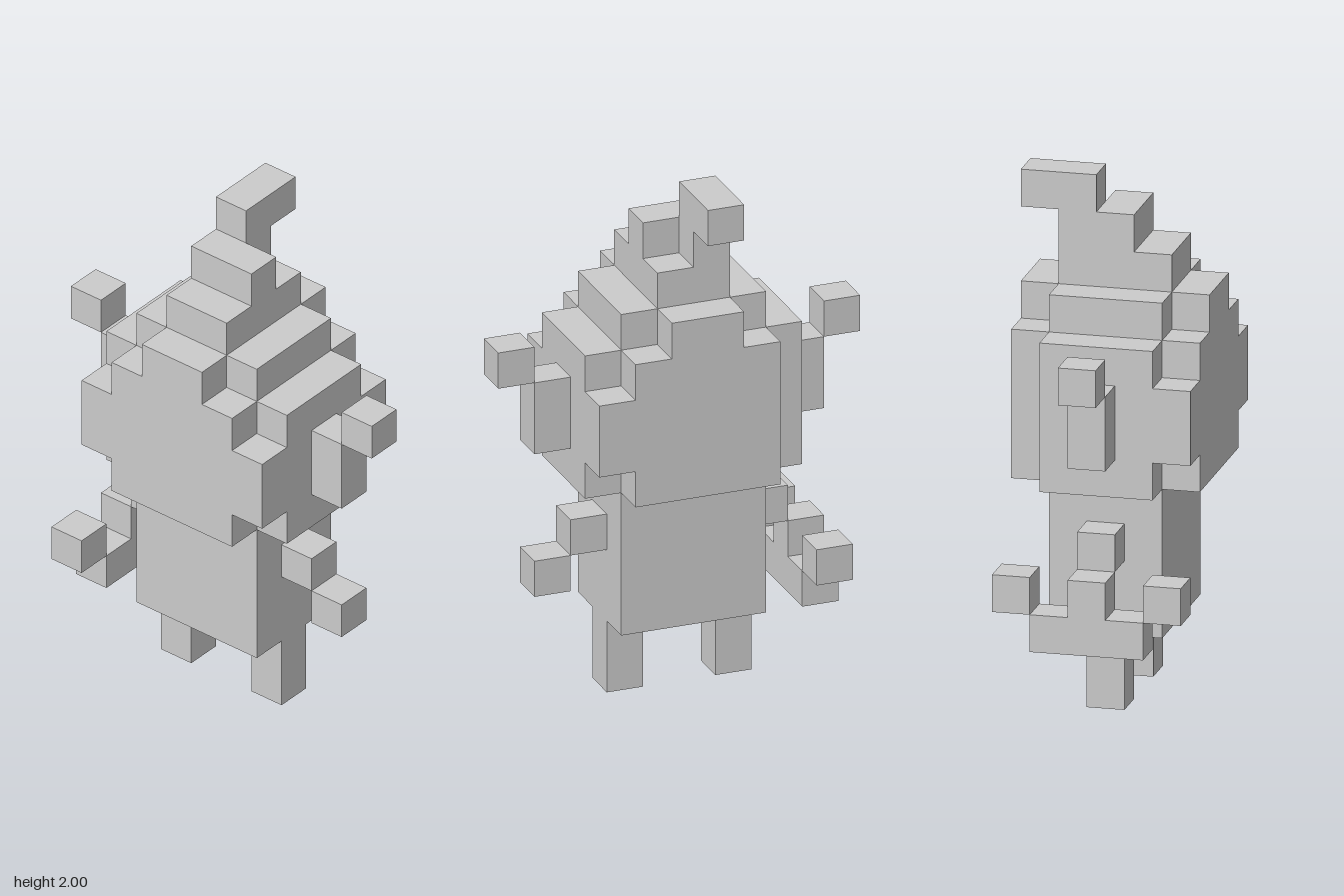
import * as THREE from 'three';

const U = 2 / 14; // size of one cube of the blocky figure

export function createModel() {
  const model = new THREE.Group();
  model.name = 'blockFigure';
  const material = new THREE.MeshStandardMaterial({ color: 0xcccccc, flatShading: true });

  const group = (name) => {
    const g = new THREE.Group();
    g.name = name;
    model.add(g);
    return g;
  };

  // Box spanning the given cube ranges on each axis
  const block = (parent, name, [x0, x1], [y0, y1], [z0, z1]) => {
    const geometry = new THREE.BoxGeometry((x1 - x0) * U, (y1 - y0) * U, (z1 - z0) * U);
    const mesh = new THREE.Mesh(geometry, material);
    mesh.position.set((x0 + x1) / 2 * U, (y0 + y1) / 2 * U, (z0 + z1) / 2 * U);
    mesh.name = name;
    parent.add(mesh);
  };

  const thin = [-0.5, 0.5];
  const deep = [-1.5, 1.5];
  const front = [1.5, 2.5];
  const back = [-2.5, -1.5];

  // Torso
  block(model, 'body', [-2, 2], [2, 6], deep);

  // Limbs and ears, mirrored
  for (const [side, s] of [['left', 1], ['right', -1]]) {
    const span = (a, b) => (s > 0 ? [a, b] : [-b, -a]);
    block(model, side + 'Leg', span(1, 2), [0, 2], thin);
    const arm = group(side + 'Arm');
    block(arm, side + 'UpperArm', span(2, 3), [4, 5], thin);
    block(arm, side + 'Hand', span(3, 4), [3, 4], thin);
    const ear = group(side + 'Ear');
    block(ear, side + 'EarBase', span(3, 4), [7, 9], thin);
    block(ear, side + 'EarTip', span(4, 5), [9, 10], thin);
  }

  // Head: wide core with stepped face and back plates
  const head = group('head');
  block(head, 'headCore', [-3, 3], [6, 10], deep);
  block(head, 'headCrown', [-2, 2], [10, 11], deep);
  for (const [name, z] of [['face', front], ['headBack', back]]) {
    block(head, name, [-2, 2], [6, 10], z);
    block(head, name + 'Top', [-1, 1], [10, 11], z);
    block(head, name + 'LeftCheek', [2, 3], [7, 9], z);
  }
  block(head, 'faceRightCheek', [-3, -2], [7, 9], front); // the back has no right cheek

  // Pointed cap whose tip bends backwards
  const cap = group('cap');
  block(cap, 'capBase', [-1, 1], [11, 12], deep);
  block(cap, 'capMiddle', [-1, 1], [12, 13], thin);
  block(cap, 'capStem', [-1, 0], [12, 13], [-1.5, -0.5]);
  block(cap, 'capTip', [-1, 0], [13, 14], [-2.5, -0.5]);

  // Curved tool held under the right hand
  const tool = group('heldTool');
  block(tool, 'toolBar', [-4, -3], [2, 3], deep);
  block(tool, 'toolFrontEnd', [-4, -3], [3, 4], front);
  block(tool, 'toolBackEnd', [-4, -3], [3, 4], back);

  return model;
}
